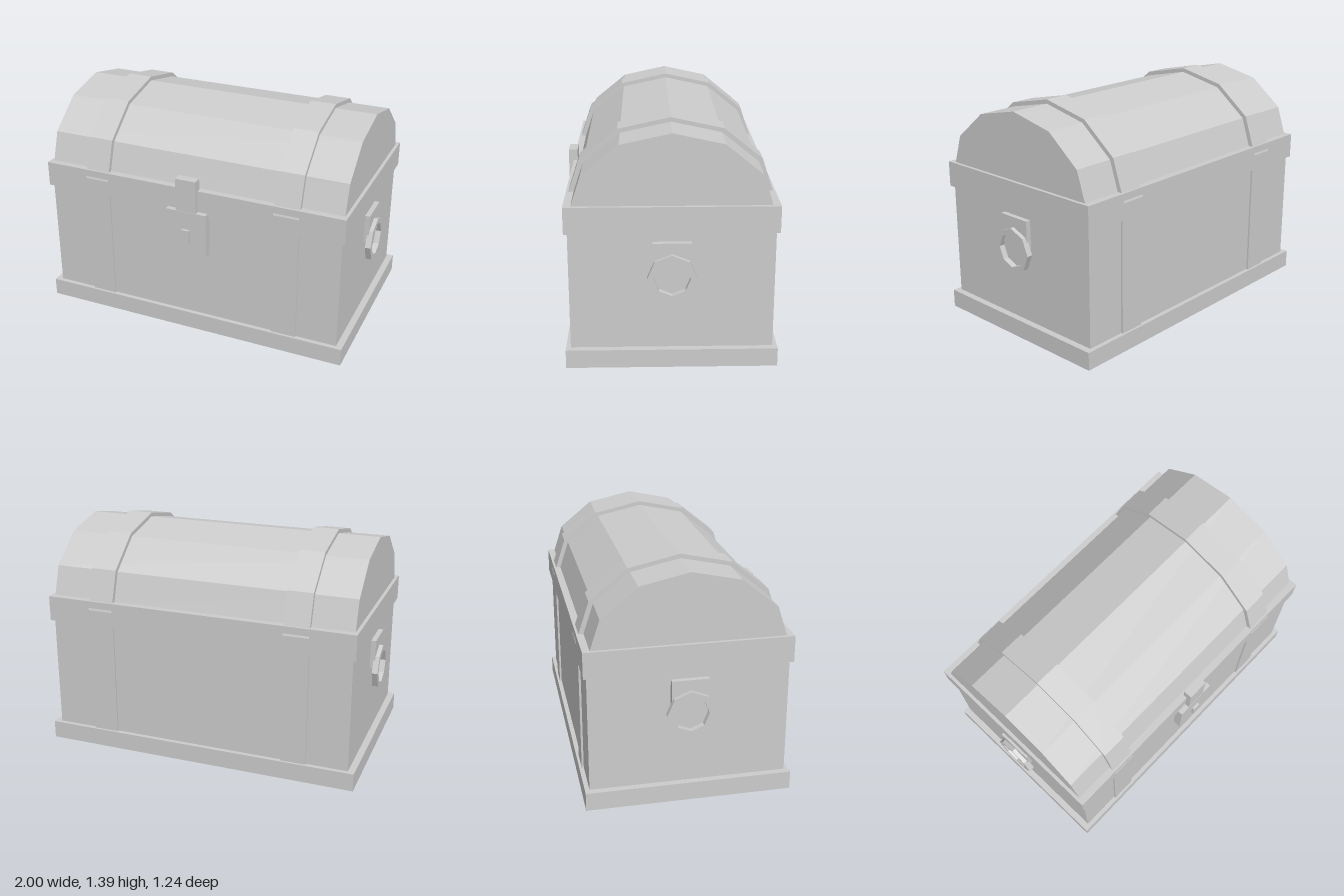
import * as THREE from 'three';

const CZ = -0.02; // depth centre of the box, the lock projects in front of it

export function createModel() {
  const chest = new THREE.Group();
  chest.name = 'chest';
  const grey = new THREE.MeshStandardMaterial({ color: 0xcccccc, flatShading: true });
  grey.name = 'plain grey';

  const add = (name, geometry, x = 0, y = 0, z = CZ) => {
    const mesh = new THREE.Mesh(geometry, grey);
    mesh.name = name;
    mesh.position.set(x, y, z);
    chest.add(mesh);
  };
  // Box given by its centre in x and z and its bottom and top heights
  const box = (name, w, d, y0, y1, x = 0, z = CZ) =>
    add(name, new THREE.BoxGeometry(w, y1 - y0, d), x, (y0 + y1) / 2, z);
  // Extrusion running along x, centred on its length
  const alongX = (shape, length) =>
    new THREE.ExtrudeGeometry(shape, { depth: length, bevelEnabled: false })
      .translate(0, 0, -length / 2).rotateY(Math.PI / 2);
  // Points on an ellipse, used for the faceted arches and rings
  const arc = (rx, ry, sides, sweep) => Array.from({ length: sides + 1 }, (_, i) => {
    const a = (i / sides) * sweep;
    return new THREE.Vector2(rx * Math.cos(a), ry * Math.sin(a));
  });
  const arch = (halfDepth, height, length) =>
    alongX(new THREE.Shape(arc(halfDepth, height, 6, Math.PI)), length);

  // Box, plinth and rim
  box('base', 1.97, 1.204, 0, 0.11);
  box('body', 1.89, 1.15, 0.1, 0.82);
  box('rim', 1.93, 1.188, 0.805, 0.96);

  // Six-sided arched lid
  add('lid', arch(0.57, 0.463, 1.89), 0, 0.902);

  // Straps over the lid and down the front and back
  for (const x of [-0.615, 0.615]) {
    add('lidStrap', arch(0.598, 0.485, 0.155), x, 0.905);
    box('bodyStrap', 0.155, 1.174, 0.1, 0.82, x);
  }

  // Lock
  box('lockPlate', 0.26, 0.05, 0.545, 0.825, 0, 0.58);
  box('hasp', 0.13, 0.055, 0.8, 1.03, 0, 0.5755);
  box('keyhole', 0.05, 0.03, 0.615, 0.71, 0, 0.607);

  // Side handles: a mounting plate and an octagonal ring
  const ring = new THREE.Shape(arc(0.138, 0.138, 8, Math.PI * 2).slice(0, 8));
  ring.holes.push(new THREE.Path(arc(0.104, 0.104, 8, Math.PI * 2).slice(0, 8)));
  const ringGeometry = alongX(ring, 0.035);
  for (const side of [-1, 1]) {
    box('handlePlate', 0.04, 0.216, 0.575, 0.752, side * 0.955);
    add('handleRing', ringGeometry, side * 0.9825, 0.553);
  }
  return chest;
}
